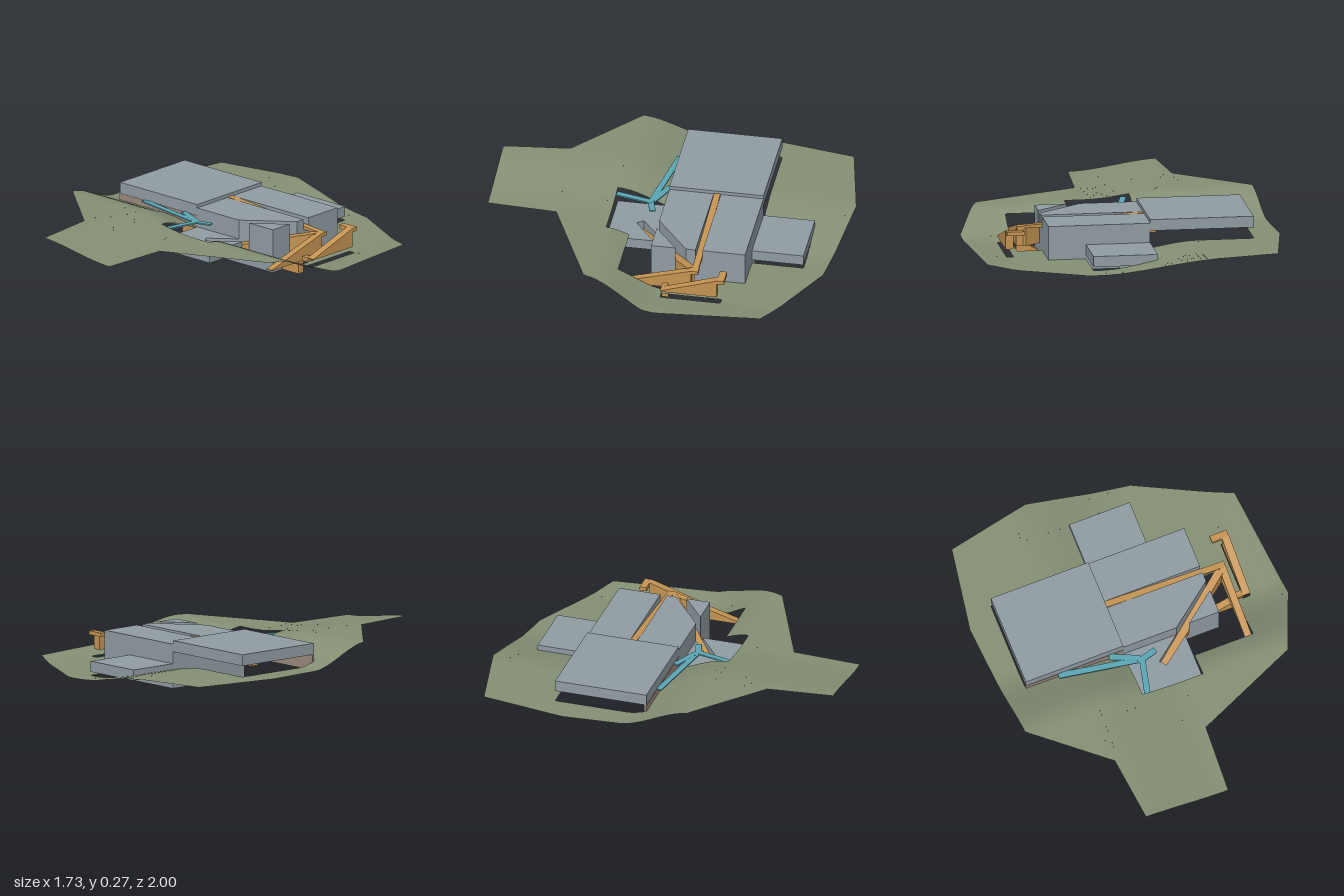
import * as THREE from 'three';

const mat = (name, color, side = THREE.FrontSide) => {
  const m = new THREE.MeshStandardMaterial({ color, side });
  m.name = name;
  return m;
};
const smooth = (a, b, v) => THREE.MathUtils.smoothstep(v, a, b);

// Ground height: a high front shelf falling to a low, gently tilted back
function groundHeight(x, z) {
  const front = 0.26 - 0.06 * smooth(-0.42, 0.12, x);
  const back = 0.145 - 0.085 * smooth(-0.4, 0.2, x) + 0.022 * smooth(0.62, 0.86, x);
  return back + (front - back) * smooth(-0.1, 0.31, z);
}

// Outline of the ground as x against z, and rectangular openings [x0, x1, z0, z1]
const leftEdge = [[-1, -0.31], [-0.9, -0.79], [-0.42, -0.87], [0.29, -0.82], [0.63, -0.42], [1, -0.38]];
const rightEdge = [[-1, -0.31], [-0.92, 0.28], [-0.66, 0.8], [0, 0.86], [0.35, 0.72], [0.61, 0.13], [1, 0.11]];
const openings = [
  [-0.71, -0.13, -0.51, 0.02], [-0.13, 0.44, -0.51, 0.02], [-0.13, 0.23, -0.8, -0.51],
  [-0.13, 0.23, 0.02, 0.31], [0.44, 0.58, -0.27, 0.18], [0.23, 0.44, 0.02, 0.18],
  [0.62, 0.66, -0.41, -0.07],
];

function edgeAt(edge, z) {
  for (let i = 1; i < edge.length; i++) {
    const [z0, x0] = edge[i - 1], [z1, x1] = edge[i];
    if (z <= z1) return x0 + (x1 - x0) * (z - z0) / (z1 - z0);
  }
  return edge[edge.length - 1][1];
}

// The ground is made of bands along z, each cut around the openings
function groundGeometry() {
  const cuts = new Set();
  for (let i = 0; i <= 80; i++) cuts.add(+(-1 + i * 0.025).toFixed(3));
  [...leftEdge, ...rightEdge].forEach(([z]) => cuts.add(z));
  openings.forEach((o) => { cuts.add(o[2]); cuts.add(o[3]); });
  const zs = [...cuts].sort((a, b) => a - b);
  const pos = [], nor = [], e = 0.005;
  const put = (x, z) => {
    pos.push(x, groundHeight(x, z), z);
    const n = new THREE.Vector3(
      groundHeight(x - e, z) - groundHeight(x + e, z), 2 * e,
      groundHeight(x, z - e) - groundHeight(x, z + e)).normalize();
    nor.push(n.x, n.y, n.z);
  };
  for (let k = 1; k < zs.length; k++) {
    const za = zs[k - 1], zb = zs[k], zm = (za + zb) / 2;
    const holes = openings.filter((o) => zm > o[2] && zm < o[3]).sort((a, b) => a[0] - b[0]);
    // x limits at both ends of the band, from left to right
    const stops = [[edgeAt(leftEdge, za), edgeAt(leftEdge, zb)]];
    holes.forEach((o) => stops.push([o[0], o[0]], [o[1], o[1]]));
    stops.push([edgeAt(rightEdge, za), edgeAt(rightEdge, zb)]);
    for (let s = 0; s < stops.length; s += 2) {
      const [la, lb] = stops[s], [ra, rb] = stops[s + 1];
      if (ra - la < 1e-6 && rb - lb < 1e-6) continue;
      const n = Math.max(1, Math.ceil((rb - lb) / 0.04));
      for (let i = 0; i < n; i++) {
        const f = i / n, g = (i + 1) / n;
        const a0 = la + (ra - la) * f, a1 = la + (ra - la) * g;
        const b0 = lb + (rb - lb) * f, b1 = lb + (rb - lb) * g;
        put(a0, za); put(b0, zb); put(b1, zb);
        put(a0, za); put(b1, zb); put(a1, za);
      }
    }
  }
  const geo = new THREE.BufferGeometry();
  geo.setAttribute('position', new THREE.Float32BufferAttribute(pos, 3));
  geo.setAttribute('normal', new THREE.Float32BufferAttribute(nor, 3));
  return geo;
}

export function createModel() {
  const model = new THREE.Group();
  const grass = mat('grass', 0x848f74, THREE.DoubleSide);
  const concrete = mat('concrete', 0x8f9ba2);
  const ochre = mat('ochre', 0xc49352);
  const teal = mat('teal', 0x5aa5b4);
  const clay = mat('clay', 0x9a887e);

  const add = (name, geo, material) => {
    const mesh = new THREE.Mesh(geo, material);
    mesh.name = name;
    model.add(mesh);
    return mesh;
  };
  // Plan polygon [x, z] raised from y0 to y1
  const block = (name, plan, y0, y1, material) => {
    const shape = new THREE.Shape(plan.map(([x, z]) => new THREE.Vector2(x, -z)));
    const geo = new THREE.ExtrudeGeometry(shape, { depth: y1 - y0, bevelEnabled: false });
    geo.rotateX(-Math.PI / 2).translate(0, y0, 0);
    return add(name, geo, material);
  };
  const rect = (x0, x1, z0, z1) => [[x0, z0], [x1, z0], [x1, z1], [x0, z1]];
  // Solid ramp from a to b ([x, y, z] on its top surface) with a flat base
  const ramp = (name, a, b, width, base, material) => {
    const dx = b[0] - a[0], dz = b[2] - a[2], len = Math.hypot(dx, dz);
    const side = new THREE.Shape([
      new THREE.Vector2(0, base), new THREE.Vector2(len, base),
      new THREE.Vector2(len, b[1]), new THREE.Vector2(0, a[1]),
    ]);
    const geo = new THREE.ExtrudeGeometry(side, { depth: width, bevelEnabled: false });
    geo.translate(0, 0, -width / 2).rotateY(Math.atan2(-dz, dx)).translate(a[0], 0, a[2]);
    return add(name, geo, material);
  };

  add('ground', groundGeometry(), grass);

  // Main hall: solid base, then storeys cut by the diagonal and straight passages
  block('hallBase', rect(-0.13, 0.44, -0.51, 0.02), 0, 0.08, concrete);
  block('hallStorey', [[-0.13, 0.02], [0.186, 0.02], [0.44, -0.176], [0.44, -0.51], [-0.13, -0.51]],
    0.08, 0.2, concrete);
  block('hallRoofFront', [[-0.13, 0.02], [0.186, 0.02], [0.44, -0.176], [0.44, -0.23], [-0.13, -0.23]],
    0.2, 0.25, concrete);
  block('hallRoofBack', rect(-0.13, 0.44, -0.51, -0.27), 0.2, 0.25, concrete);
  block('hallCorner', [[0.262, 0.02], [0.44, 0.02], [0.44, -0.118]], 0.08, 0.25, concrete);

  // Upper wing, and the low terraces at the front and back
  block('upperWing', rect(-0.71, -0.13, -0.51, 0.02), 0.207, 0.27, concrete);
  block('backTerrace', rect(-0.13, 0.23, -0.8, -0.51), 0.08, 0.14, concrete);
  block('frontTerrace', [[-0.13, 0.02], [0.186, 0.02], [0.041, 0.132], [0.069, 0.168],
    [0.23, 0.044], [0.23, 0.31], [-0.13, 0.31]], 0.08, 0.14, concrete);
  block('retainingWall', rect(-0.71, -0.13, 0.008, 0.022), 0.12, 0.207, clay);

  // Ochre ramps and landings
  ramp('diagonalRamp', [0.055, 0.085, 0.15], [0.54, 0.2, -0.224], 0.045, 0.08, ochre);
  ramp('roofRamp', [0.56, 0.2, -0.25], [-0.13, 0.254, -0.25], 0.036, 0.19, ochre);
  ramp('yardRamp', [0.56, 0.085, 0.18], [0.56, 0.2, -0.23], 0.04, 0.08, ochre);
  block('yardLanding', rect(0.54, 0.58, -0.27, -0.23), 0.18, 0.2, ochre);
  ramp('basementRamp', [0.44, 0.025, -0.08], [0.56, 0.085, -0.08], 0.04, 0, ochre);
  block('sidePath', rect(0.58, 0.62, -0.105, -0.07), 0.08, 0.105, ochre);
  ramp('sideRamp', [0.64, 0.105, -0.07], [0.64, 0.207, -0.39], 0.044, 0.1, ochre);
  block('sideLanding', rect(0.56, 0.66, -0.43, -0.39), 0.185, 0.207, ochre);
  block('wingStair', rect(-0.235, -0.13, -0.02, 0.026), 0.08, 0.14, ochre);

  // Teal footbridges meeting at a fork
  const bridges = [
    [[-0.52, 0.03], [-0.05, 0.11]], [[-0.22, 0.03], [-0.06, 0.1]],
    [[-0.06, 0.112], [0.035, 0.085]], [[-0.05, 0.1], [-0.1, 0.31]],
  ];
  bridges.forEach(([a, b], i) => {
    const y = 0.21 + i * 0.0004;
    ramp('footbridge' + (i + 1), [a[0], y, a[1]], [b[0], y, b[1]], 0.034, 0.203, teal);
  });

  return model;
}
